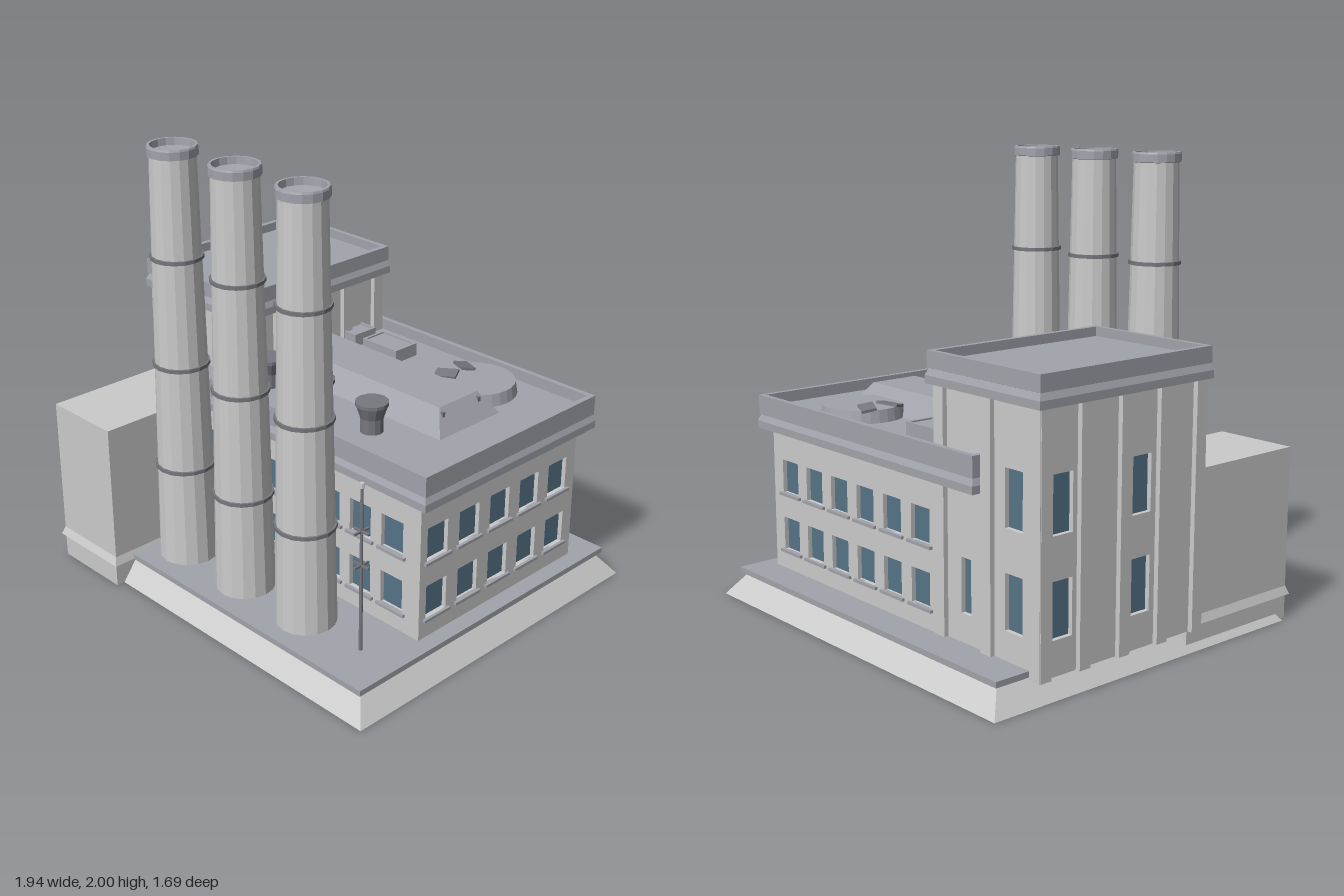
import * as THREE from 'three';

const mat = (color, extra = {}) => new THREE.MeshStandardMaterial({ color, flatShading: true, ...extra });
const wallMat = mat(0xcccccc);
const trimMat = mat(0xa2a4ac);
const darkMat = mat(0x77787e);
const glassMat = mat(0x557488, { side: THREE.DoubleSide });

function add(parent, name, geometry, material, x = 0, y = 0, z = 0) {
  const mesh = new THREE.Mesh(geometry, material);
  mesh.name = name;
  mesh.position.set(x, y, z);
  parent.add(mesh);
  return mesh;
}

// Box given by its limits
function block(parent, name, material, x0, x1, y0, y1, z0, z1) {
  return add(parent, name, new THREE.BoxGeometry(x1 - x0, y1 - y0, z1 - z0), material,
    (x0 + x1) / 2, (y0 + y1) / 2, (z0 + z1) / 2);
}

// Closed loft of rectangles; profile lists [inset, y] from bottom to top
function rectLoft(x0, x1, z0, z1, profile) {
  const points = [], index = [];
  profile.forEach(([d, y], i) => {
    points.push(x0 + d, y, z1 - d, x1 - d, y, z1 - d, x1 - d, y, z0 + d, x0 + d, y, z0 + d);
    if (!i) return;
    for (let k = 0; k < 4; k++) {
      const a = (i - 1) * 4 + k, b = (i - 1) * 4 + (k + 1) % 4;
      index.push(a, b, b + 4, a, b + 4, a + 4);
    }
  });
  const t = (profile.length - 1) * 4;
  index.push(0, 2, 1, 0, 3, 2, t, t + 1, t + 2, t, t + 2, t + 3);
  const g = new THREE.BufferGeometry();
  g.setAttribute('position', new THREE.Float32BufferAttribute(points, 3));
  g.setIndex(index);
  const flat = g.toNonIndexed();
  flat.computeVertexNormals();
  return flat;
}

// Wall panel with recessed windows; local x runs along the wall, local z points outwards.
// openings: [centre, width, bottom, top]
function wall(parent, name, x, z, turn, x0, x1, y0, y1, openings, sills) {
  const group = new THREE.Group();
  group.name = name;
  group.position.set(x, 0, z);
  group.rotation.y = turn;
  parent.add(group);
  const rect = (Type, a, b, c, d) => {
    const p = new Type();
    p.moveTo(a, c); p.lineTo(b, c); p.lineTo(b, d); p.lineTo(a, d); p.closePath();
    return p;
  };
  const shape = rect(THREE.Shape, x0, x1, y0, y1);
  for (const [c, w, b, t] of openings) {
    shape.holes.push(rect(THREE.Path, c - w / 2, c + w / 2, b, t));
    add(group, 'windowGlass', new THREE.PlaneGeometry(w, t - b), glassMat, c, (b + t) / 2, -0.02);
    if (sills) block(group, 'windowSill', trimMat, c - w / 2 - 0.017, c + w / 2 + 0.017, b - 0.013, b, -0.01, 0.013);
  }
  const panel = new THREE.ExtrudeGeometry(shape, { depth: 0.03, bevelEnabled: false });
  add(group, 'wallPanel', panel, wallMat, 0, 0, -0.03);
}

const twoRows = (centres) => centres.flatMap((c) => [[c, 0.12, 0.22, 0.37], [c, 0.12, 0.485, 0.635]]);

// Fascia with stepped lower band, parapet and sunken roof
const fascia = (y0, y1, drop) => [
  [0.045, y0], [0, y0], [0, y0 + 0.033], [0.012, y0 + 0.06], [0.006, y0 + 0.062],
  [0.006, y1], [0.03, y1], [0.03, y1 - drop],
];

function addBase(model) {
  const base = new THREE.Group();
  base.name = 'base';
  model.add(base);
  add(base, 'slopedFoundation', rectLoft(-0.92, 0.97, -0.85, 0.79, [[0, 0], [0.08, 0.105]]), wallMat);
  block(base, 'groundSlab', trimMat, -0.87, 0.915, 0.105, 0.13, -0.8, 0.74);
}

function addMainHall(model) {
  const hall = new THREE.Group();
  hall.name = 'mainHall';
  model.add(hall);
  const front = Array.from({ length: 7 }, (_, i) => 0.685 - 0.18 * i);
  const back = Array.from({ length: 6 }, (_, i) => -0.71 + 0.188 * i);
  const side = Array.from({ length: 5 }, (_, i) => -0.23 + 0.19 * i);
  wall(hall, 'frontWall', 0, 0.33, 0, -0.55, 0.84, 0.13, 0.78, twoRows(front), true);
  wall(hall, 'backWall', 0, -0.65, Math.PI, -0.84, 0.36, 0.13, 0.78, twoRows(back), true);
  wall(hall, 'sideWall', 0.84, 0, Math.PI / 2, -0.33, 0.65, 0.13, 0.78, twoRows(side), true);
  add(hall, 'roof', rectLoft(-0.605, 0.905, -0.69, 0.38, fascia(0.765, 0.915, 0.05)), trimMat);

  // Long raised roof monitor with small bolts at its corners
  add(hall, 'roofMonitor', rectLoft(-0.38, 0.66, -0.35, 0.03, [[0, 0.86], [0.073, 0.965]]), trimMat);
  for (const x of [-0.3, 0.605]) for (const z of [-0.265, -0.045])
    block(hall, 'monitorBolt', darkMat, x - 0.007, x + 0.007, 0.9, 0.95, z - 0.007, z + 0.007);

  // Flared roof vents
  const vent = [[0, 0.86], [0.05, 0.86], [0.05, 0.93], [0.068, 0.985], [0.071, 0.985], [0.071, 1], [0, 1]];
  for (const x of [-0.23, 0.085, 0.4])
    add(hall, 'roofVent', new THREE.LatheGeometry(vent.map(([r, y]) => new THREE.Vector2(r, y)), 12), darkMat, x, 0, 0.16);

  // Roof hatches with sunken lids
  for (const x of [-0.47, -0.21])
    add(hall, 'roofHatch', rectLoft(x, x + 0.21, -0.54, -0.405,
      [[0, 0.86], [0, 0.925], [0.012, 0.925], [0.012, 0.918]]), trimMat);

  // Low round drum with two tilted louvres
  add(hall, 'roofDrum', new THREE.CylinderGeometry(0.175, 0.185, 0.06, 28), trimMat, 0.435, 0.89, -0.445);
  for (const s of [-1, 1]) {
    const louvre = add(hall, 'drumLouvre', new THREE.BoxGeometry(0.1, 0.012, 0.065), darkMat, 0.32, 0.925, -0.445 + s * 0.06);
    louvre.rotation.set(s * 0.2, s * 0.45, 0);
  }
}

function addTower(model) {
  const tower = new THREE.Group();
  tower.name = 'tower';
  model.add(tower);
  const y0 = 0.105, y1 = 1.16;
  const rows = (c) => [[c, 0.1, 0.25, 0.48], [c, 0.1, 0.655, 0.89]];
  wall(tower, 'frontWall', 0, 0.21, 0, -0.93, -0.35, y0, y1, rows(-0.75), false);
  wall(tower, 'backWall', 0, -0.635, Math.PI, 0.35, 0.93, y0, y1, [...rows(0.78), [0.5, 0.06, 0.25, 0.48]], false);
  wall(tower, 'outerWall', -0.93, 0, -Math.PI / 2, -0.635, 0.21, y0, y1, [...rows(-0.525), ...rows(-0.11)], false);
  wall(tower, 'innerWall', -0.35, 0, Math.PI / 2, -0.21, 0.635, y0, y1, [], false);
  block(tower, 'floor', wallMat, -0.93, -0.35, y0, y0 + 0.02, -0.635, 0.21);

  // Pilasters around all four sides
  for (const z of [-0.625, -0.425, -0.215, -0.005, 0.2]) {
    block(tower, 'pilaster', wallMat, -0.952, -0.9, y0, y1, z - 0.028, z + 0.028);
    block(tower, 'pilaster', wallMat, -0.38, -0.328, y0, y1, z - 0.028, z + 0.028);
  }
  for (const x of [-0.92, -0.64, -0.358]) {
    block(tower, 'pilaster', wallMat, x - 0.029, x + 0.029, y0, y1, -0.656, -0.61);
    block(tower, 'pilaster', wallMat, x - 0.029, x + 0.029, y0, y1, 0.18, 0.23);
  }
  add(tower, 'roof', rectLoft(-0.972, -0.308, -0.68, 0.242, fascia(1.15, 1.28, 0.04)), trimMat);
}

function addAnnex(model) {
  const annex = new THREE.Group();
  annex.name = 'annex';
  model.add(annex);
  block(annex, 'footing', wallMat, -0.898, -0.518, 0, 0.11, 0.2, 0.828);
  add(annex, 'body', rectLoft(-0.912, -0.502, 0.18, 0.842,
    [[0.014, 0.105], [0, 0.108], [0.014, 0.145], [0.014, 0.765]]), wallMat);
}

function addChimneys(model) {
  const lathe = (pts) => new THREE.LatheGeometry(pts.map(([r, y]) => new THREE.Vector2(r, y)), 16);
  const shaft = lathe([[0.13, 0.125], [0.097, 1.96]]);
  const cap = lathe([[0.095, 1.955], [0.106, 1.958], [0.106, 1.992], [0.103, 2], [0.092, 2], [0.09, 1.97], [0, 1.96]]);
  for (const x of [-0.357, 0.023, 0.403]) {
    const chimney = new THREE.Group();
    chimney.name = 'chimney';
    chimney.position.set(x, 0, 0.54);
    model.add(chimney);
    add(chimney, 'shaft', shaft, wallMat);
    add(chimney, 'cap', cap, trimMat);
    for (const y of [0.58, 1.055, 1.53]) {
      const r = 0.13 - 0.033 * (y - 0.125) / 1.835 + 0.009;
      add(chimney, 'band', new THREE.CylinderGeometry(r, r, 0.016, 16), darkMat, 0, y, 0);
    }
  }
}

function addMast(model) {
  const mast = new THREE.Group();
  mast.name = 'mast';
  mast.position.set(0.72, 0, 0.54);
  model.add(mast);
  add(mast, 'pole', new THREE.CylinderGeometry(0.006, 0.008, 0.74, 8), darkMat, 0, 0.5, 0);
  add(mast, 'lamp', new THREE.CylinderGeometry(0.01, 0.01, 0.022, 8), wallMat, 0, 0.877, 0);
  for (const y of [0.522, 0.675]) {
    add(mast, 'crossbar', new THREE.BoxGeometry(0.08, 0.009, 0.009), darkMat, 0, y, 0);
    add(mast, 'crossbar', new THREE.BoxGeometry(0.009, 0.009, 0.08), darkMat, 0, y, 0);
  }
}

export function createModel() {
  const model = new THREE.Group();
  model.name = 'powerStation';
  addBase(model);
  addMainHall(model);
  addTower(model);
  addAnnex(model);
  addChimneys(model);
  addMast(model);
  return model;
}
